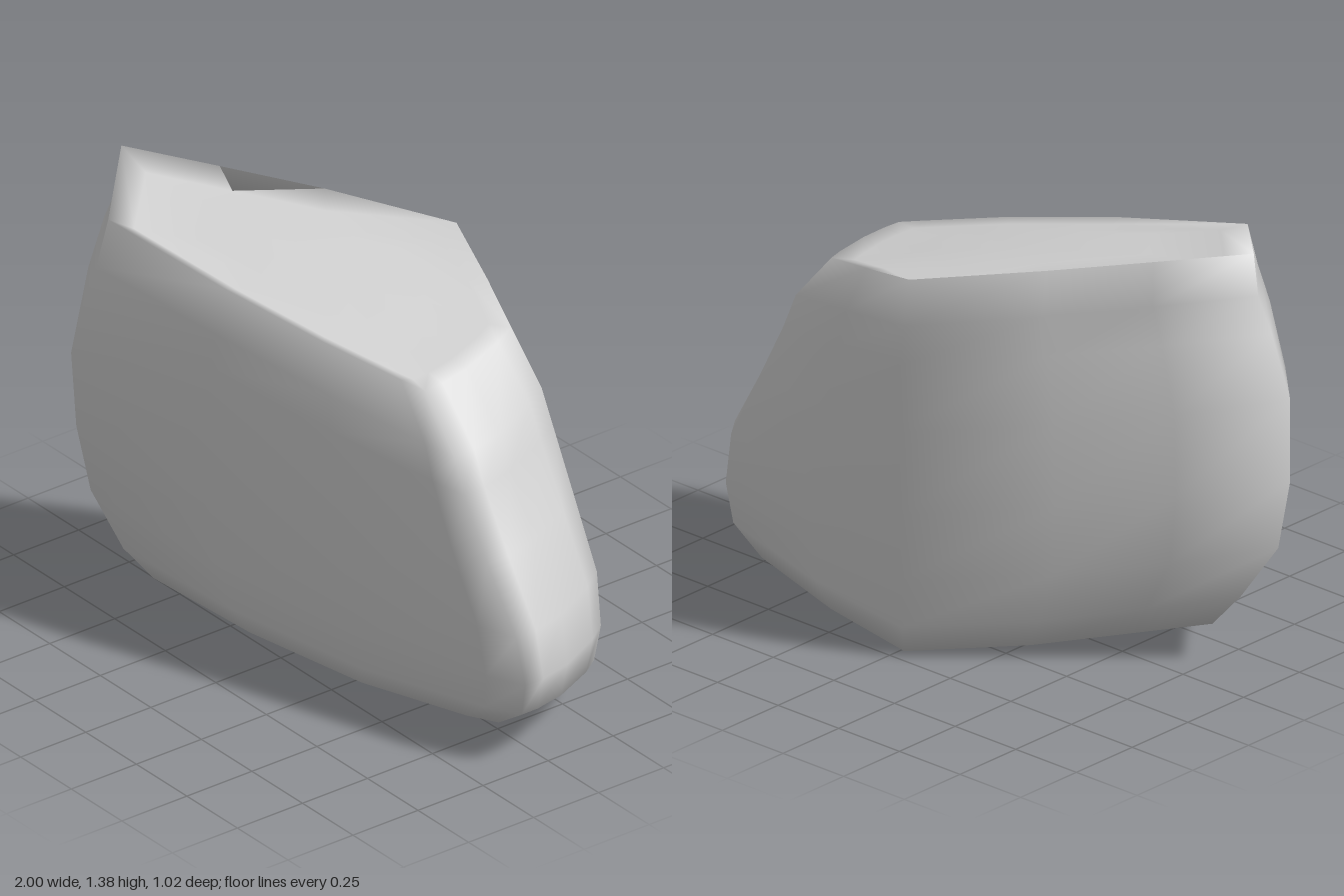
import * as THREE from 'three';

// Widest outline seen from above (x, z): left tip, front face, right end, back faces
const OUTLINE = [
  [-1, .22], [-.71, .51], [-.2, .39], [.35, .26], [.85, .14], [1, .1], [1, .02],
  [.97, -.1], [.88, -.27], [.82, -.35], [.4, -.43], [-.05, -.51], [-.44, -.24], [-.73, -.01],
];

// Height fraction, then how far the outline reaches towards -x, +x, +z and -z
const LEVELS = [
  [0, .74, .84, .65, .93],
  [.07, .83, .97, .78, .96],
  [.2, .965, 1, .88, .98],
  [.38, 1, .965, .95, 1],
  [.6, .99, .83, 1, .99],
  [.78, .92, .71, .97, .98],
  [.88, .87, .66, .94, .95],
  [1, .87, .5, .85, .9],
];

// The underside curves up to both ends; the top slopes down to the right
const baseHeight = (x) => .015 + .14 * x * x - .035 * x;
const rimHeight = (x, z) => 1.22 - .19 * x - .05 * z - .05 * Math.max(x, 0);

export function createModel() {
  const stone = new THREE.MeshStandardMaterial({ name: 'stone grey', color: 0xd0d0d0 });
  const count = OUTLINE.length;
  const points = [];
  const index = [];

  // Rings up the sides
  for (const [t, left, right, front, back] of LEVELS)
    for (const [ox, oz] of OUTLINE) {
      const x = ox * (ox < 0 ? left : right);
      const z = oz * (oz < 0 ? back : front);
      points.push(new THREE.Vector3(x, THREE.MathUtils.lerp(baseHeight(x), rimHeight(x, z), t), z));
    }

  // Rings across the top, sunk behind the raised back left edge
  const top = new THREE.Vector3(-.1, 1.22, 0);
  const rim = points.slice(-count);
  for (const [mix, drop] of [[.12, .045], [.45, .02]])
    for (const p of rim) {
      const inner = p.clone().lerp(top, mix);
      const sunk = p.x < 0 && p.z < .2 ? drop : drop * .3;
      points.push(inner.setY(rimHeight(inner.x, inner.z) - sunk));
    }

  // Skin between rings, then closed top and underside
  const last = points.length - count;
  const topIndex = points.push(top) - 1;
  const baseIndex = points.push(new THREE.Vector3(.1, 0, .03)) - 1;
  for (let i = 0; i < count; i++) {
    const j = (i + 1) % count;
    for (let ring = 0; ring < last; ring += count) {
      const a = ring + i, b = ring + j;
      index.push(a, b, b + count, a, b + count, a + count);
    }
    index.push(topIndex, last + i, last + j, baseIndex, j, i);
  }

  const geometry = new THREE.BufferGeometry().setFromPoints(points);
  geometry.setIndex(index);
  geometry.computeVertexNormals();

  const boulder = new THREE.Mesh(geometry, stone);
  boulder.name = 'boulder';
  const group = new THREE.Group();
  group.name = 'rock';
  group.add(boulder);
  return group;
}
